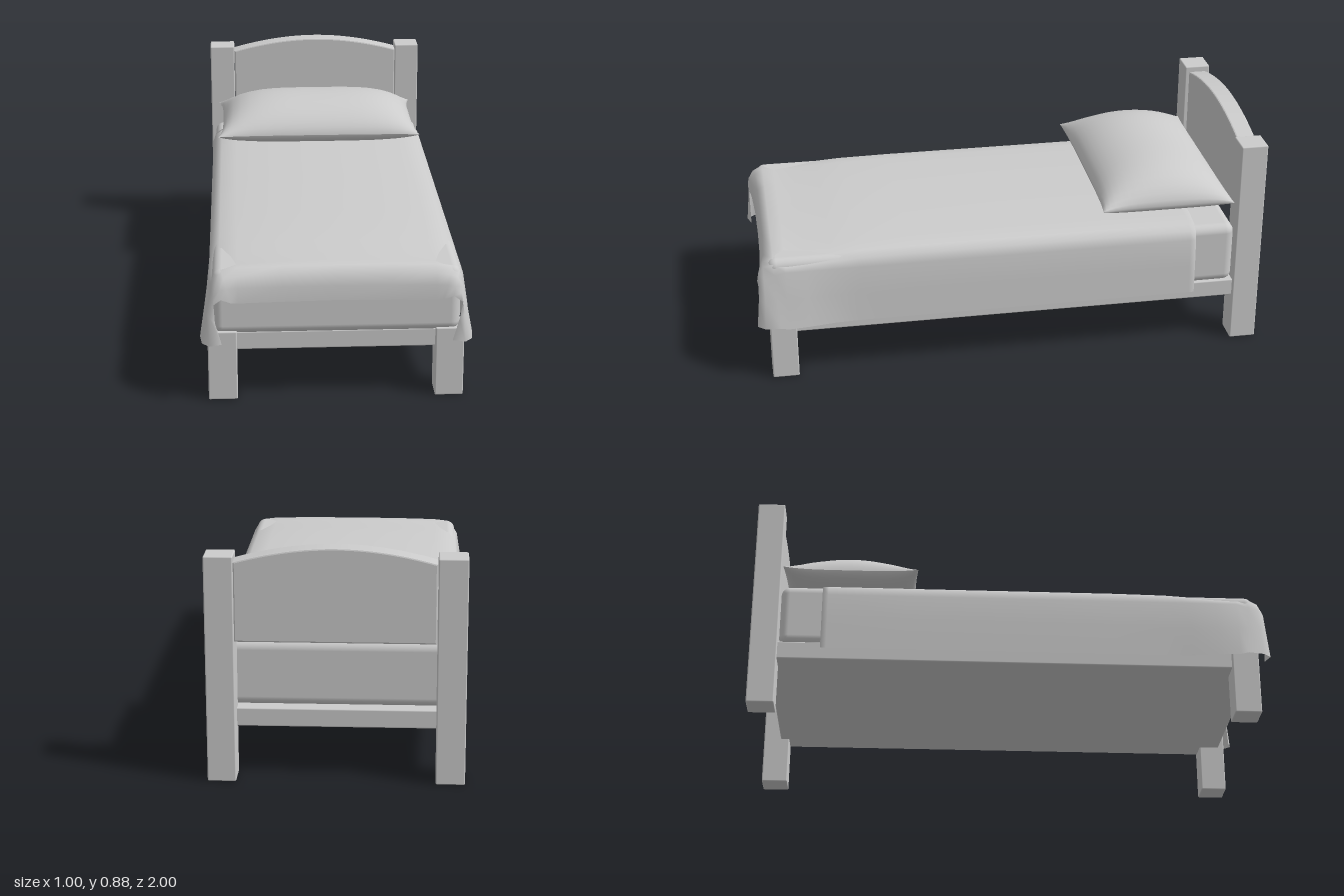
import * as THREE from 'three';
import { RoundedBoxGeometry } from 'three/addons/geometries/RoundedBoxGeometry.js';

const material = new THREE.MeshStandardMaterial({ color: 0xcccccc });
const cloth = new THREE.MeshStandardMaterial({ color: 0xcccccc, side: THREE.DoubleSide });

function add(group, name, geometry, mat = material) {
  const mesh = new THREE.Mesh(geometry, mat);
  mesh.name = name;
  group.add(mesh);
  return mesh;
}

// Rounded box given by its min and max on each axis
function box(group, name, [x0, x1], [y0, y1], [z0, z1], radius = 0.005, segments = 2) {
  const mesh = add(group, name, new RoundedBoxGeometry(x1 - x0, y1 - y0, z1 - z0, segments, radius));
  mesh.position.set((x0 + x1) / 2, (y0 + y1) / 2, (z0 + z1) / 2);
}

// Smooth surface through rows of points of equal length
function sheet(rows) {
  const n = rows[0].length, index = [];
  for (let r = 0; r < rows.length - 1; r++) {
    for (let c = 0; c < n - 1; c++) {
      const a = r * n + c, b = a + 1, d = a + n, e = d + 1;
      index.push(a, d, b, b, d, e);
    }
  }
  const geometry = new THREE.BufferGeometry();
  geometry.setAttribute('position', new THREE.Float32BufferAttribute(rows.flat(2), 3));
  geometry.setIndex(index);
  geometry.computeVertexNormals();
  return geometry;
}

// Arched panel between the head posts
function headboardGeometry() {
  const w = 0.358, b = 0.006;
  const shape = new THREE.Shape();
  shape.moveTo(-w, 0.536);
  shape.lineTo(w, 0.536);
  shape.lineTo(w, 0.822);
  shape.quadraticCurveTo(0.17, 0.874, 0, 0.874);
  shape.quadraticCurveTo(-0.17, 0.874, -w, 0.822);
  const geometry = new THREE.ExtrudeGeometry(shape, {
    depth: 0.063, bevelEnabled: true, bevelSize: b, bevelThickness: b, bevelSegments: 2, curveSegments: 16,
  });
  return geometry.translate(0, 0, -0.979);
}

// Blanket: half rows run from the centre line to the side hem, then are mirrored
function blanketGeometry() {
  const profile = [[0, 0.535], [0.2, 0.531], [0.36, 0.523], [0.425, 0.513], [0.452, 0.495],
    [0.464, 0.46], [0.468, 0.35], [0.47, 0.23]];
  const halves = [];
  // Head edge tucked down to the mattress
  halves.push(profile.map(([x, y], i) => [x * 0.965, i < 5 ? y - 0.03 : y, -0.73]));
  for (const z of [-0.732, -0.71, -0.4, 0, 0.4, 0.6, 0.7, 0.8, 0.88]) {
    const sag = 0.018 * THREE.MathUtils.smoothstep(z, 0.5, 0.92);
    const flare = 0.028 * THREE.MathUtils.smoothstep(z, 0.62, 0.9);
    halves.push(profile.map(([x, y], i) => [
      x + flare * Math.max(0, (i - 5) / 2),
      i < 5 ? y - sag : y,
      z,
    ]));
  }
  // Foot edge, front drop and hanging corner folds
  halves.push(
    [[0, 0.515, 0.925], [0.2, 0.514, 0.925], [0.36, 0.511, 0.925], [0.42, 0.504, 0.925],
      [0.445, 0.488, 0.928], [0.458, 0.45, 0.925], [0.475, 0.35, 0.92], [0.5, 0.237, 0.91]],
    [[0, 0.495, 0.955], [0.2, 0.494, 0.955], [0.36, 0.49, 0.96], [0.41, 0.485, 0.965],
      [0.435, 0.475, 0.965], [0.455, 0.44, 0.965], [0.475, 0.35, 0.965], [0.492, 0.235, 0.97]],
    [[0, 0.45, 0.965], [0.2, 0.45, 0.968], [0.36, 0.45, 0.975], [0.4, 0.45, 0.98],
      [0.425, 0.445, 0.985], [0.448, 0.42, 0.985], [0.46, 0.34, 0.99], [0.465, 0.235, 1.0]],
    [[0, 0.395, 0.968], [0.2, 0.393, 0.97], [0.36, 0.393, 0.978], [0.385, 0.396, 0.983],
      [0.42, 0.412, 0.99], [0.455, 0.385, 0.985], [0.443, 0.32, 0.985], [0.42, 0.235, 0.985]],
  );
  return sheet(halves.map((half) => [
    ...half.slice(1).reverse().map(([x, y, z]) => [-x, y, z]),
    ...half,
  ]));
}

// Pillow: closed loops round the z axis, puffed in the middle and pinched at the corners
function pillowGeometry() {
  const N = 20, rows = [];
  const ease = (i) => -Math.cos((Math.PI * i) / N);
  for (let j = 0; j <= N; j++) {
    const v = ease(j), row = [];
    for (let k = 0; k <= 2 * N; k++) {
      const top = k <= N;
      const u = top ? ease(k) : -ease(k - N);
      const fu = Math.max(0, 1 - u ** 4), fv = Math.max(0, 1 - v * v);
      const puff = top
        ? 0.125 * fu ** 0.6 * fv ** 0.6
        : -0.056 * fu ** 0.45 * Math.max(0, 1 - v ** 4) ** 0.5;
      row.push([
        u * (0.432 - 0.02 * (1 - v ** 4)) - 0.005,
        0.592 + puff,
        -0.628 + v * (0.264 - 0.012 * (1 - u ** 4)),
      ]);
    }
    rows.push(row);
  }
  return sheet(rows);
}

export function createModel() {
  const bed = new THREE.Group();
  bed.name = 'bed';

  // Wooden frame
  for (const [side, x] of [['left', [0.362, 0.467]], ['right', [-0.472, -0.365]]]) {
    box(bed, `${side}HeadPost`, x, [0, 0.85], [-1, -0.895]);
    box(bed, `${side}FootLeg`, x, [0, 0.27], [0.85, 0.953]);
  }
  box(bed, 'bedBase', [-0.455, 0.45], [0.19, 0.26], [-0.93, 0.93]);
  add(bed, 'headboard', headboardGeometry());

  // Bedding
  box(bed, 'mattress', [-0.452, 0.452], [0.256, 0.505], [-0.893, 0.95], 0.035, 5);
  add(bed, 'blanket', blanketGeometry(), cloth);
  add(bed, 'pillow', pillowGeometry(), cloth);
  return bed;
}
